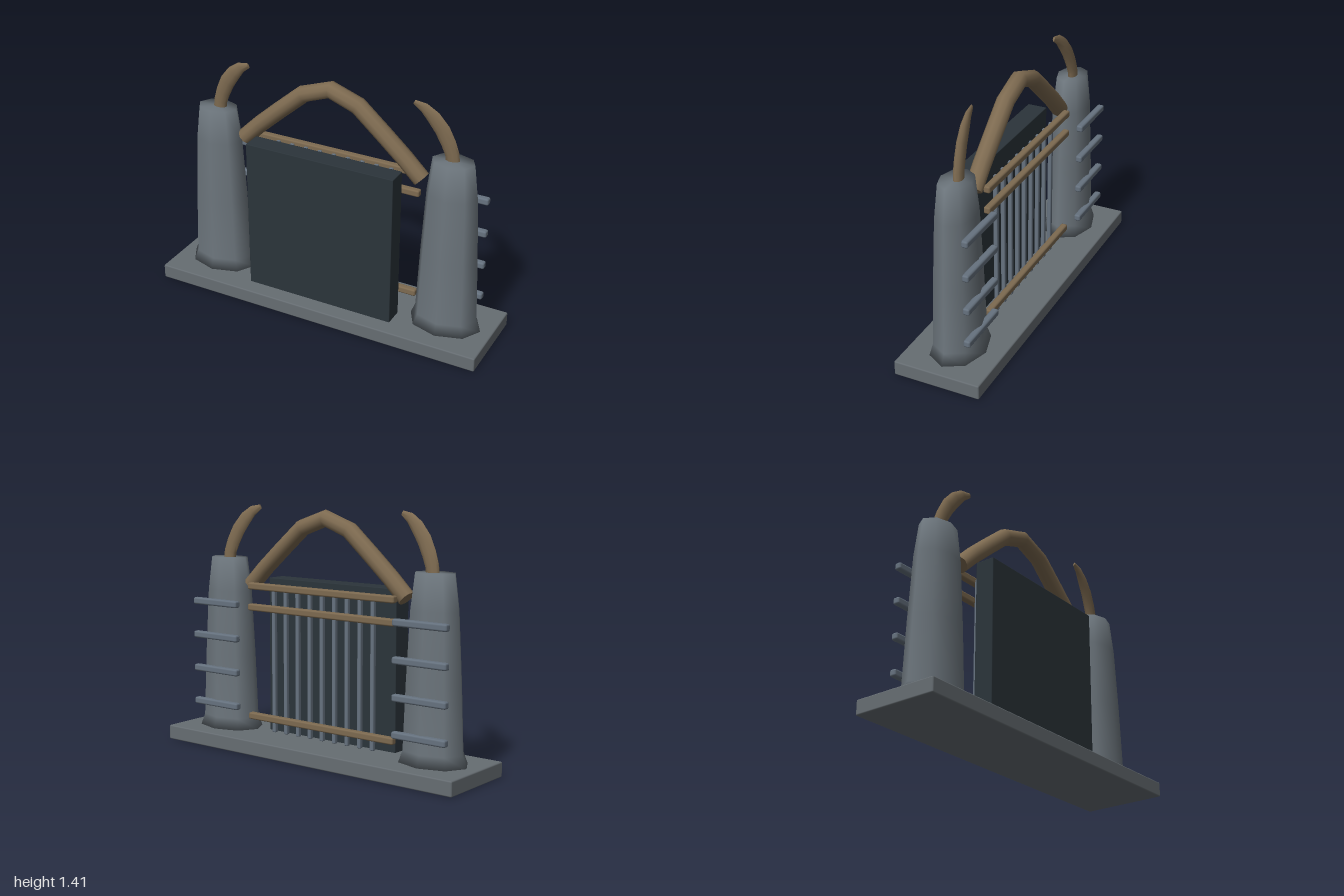
import * as THREE from 'three';
import { toCreasedNormals } from 'three/addons/utils/BufferGeometryUtils.js';
import { RoundedBoxGeometry } from 'three/addons/geometries/RoundedBoxGeometry.js';

const mat = (color) => new THREE.MeshStandardMaterial({ color });
const stone = mat(0x6b747b);
const slab = mat(0x666d72);
const dark = mat(0x2b343a);
const iron = mat(0x66727f);
const wood = mat(0x7d6a50);

// Sweep an ellipse along a path in the xy plane; each point is [x, y, z, in-plane radius, z radius]
function sweep(path, sides) {
  const rings = path.map((p, i) => {
    const a = path[Math.max(i - 1, 0)], b = path[Math.min(i + 1, path.length - 1)];
    const len = Math.hypot(b[0] - a[0], b[1] - a[1]);
    const nx = -(b[1] - a[1]) / len, ny = (b[0] - a[0]) / len;
    return { p, nx, ny, s: 1 };
  });
  rings.unshift({ ...rings[0], s: 0 });
  rings.push({ ...rings[rings.length - 1], s: 0 });
  const pos = [], idx = [];
  for (const { p, nx, ny, s } of rings) {
    for (let j = 0; j < sides; j++) {
      const t = (j / sides) * Math.PI * 2;
      const u = Math.cos(t) * p[3] * s, w = Math.sin(t) * p[4] * s;
      pos.push(p[0] + nx * u, p[1] + ny * u, p[2] + w);
    }
  }
  for (let i = 0; i < rings.length - 1; i++) {
    for (let j = 0; j < sides; j++) {
      const a = i * sides + j, b = i * sides + (j + 1) % sides;
      const c = a + sides, d = b + sides;
      if (rings[i].s) idx.push(a, b, c);
      if (rings[i + 1].s) idx.push(b, d, c);
    }
  }
  const geo = new THREE.BufferGeometry();
  geo.setAttribute('position', new THREE.Float32BufferAttribute(pos, 3));
  geo.setIndex(idx);
  return toCreasedNormals(geo, 0.95);
}

export function createModel() {
  const model = new THREE.Group();
  model.name = 'gateway';

  const add = (name, geo, material, x = 0, y = 0, z = 0) => {
    const mesh = new THREE.Mesh(geo, material);
    mesh.name = name;
    mesh.position.set(x, y, z);
    model.add(mesh);
    return mesh;
  };
  const bar = (w, h, d, r) => new RoundedBoxGeometry(w, h, d, 1, r);

  // Base slab and door panel
  add('base', bar(2, 0.085, 0.5, 0.008), slab, 0, 0.0425, 0);
  add('doorPanel', bar(0.9, 0.905, 0.115, 0.004), dark, 0, 0.5325, 0.0975);

  // Eight-sided flared towers, each with a horn and four rungs at the back
  const profile = [
    [0, 0.08], [0.212, 0.08], [0.184, 0.15], [0.168, 0.52],
    [0.146, 0.9], [0.12, 1.095], [0, 1.095],
  ].map(([r, y]) => new THREE.Vector2(r, y));
  const towerGeo = new THREE.LatheGeometry(profile, 8);
  towerGeo.scale(1, 1, 0.725);
  const horn = [
    [0.715, 1.07, -0.01, 0.04, 0.026], [0.707, 1.13, -0.008, 0.041, 0.026],
    [0.685, 1.19, -0.004, 0.044, 0.025], [0.65, 1.26, 0.002, 0.046, 0.023],
    [0.6, 1.325, 0.009, 0.042, 0.02], [0.55, 1.37, 0.016, 0.03, 0.014],
    [0.497, 1.393, 0.022, 0.014, 0.006],
  ];
  for (const [side, s] of [['left', 1], ['right', -1]]) {
    add(side + 'Tower', towerGeo, stone, s * 0.722, 0, 0);
    add(side + 'Horn', sweep(horn.map(([x, ...rest]) => [s * x, ...rest]), 10), wood);
    for (let i = 0; i < 4; i++) {
      add(side + 'Rung', bar(0.34, 0.04, 0.04, 0.011), iron, s * 0.718, 0.235 + i * 0.2, -0.125);
    }
  }

  // Curved beam over the door
  const half = [[0.545, 0.945], [0.44, 1.048], [0.325, 1.15], [0.165, 1.288]];
  const archPath = [
    ...half.map(([x, y]) => [-x, y]), [0, 1.347], ...half.slice().reverse(),
  ].map(([x, y]) => [x, y, 0, 0.048, 0.05]);
  add('archBeam', sweep(archPath, 10), wood);

  // Horizontal rails and vertical bars of the gate behind the panel
  for (const y of [0.18, 0.82, 0.943]) {
    add('gateRail', bar(1.03, 0.04, 0.04, 0.01), wood, 0, y, -0.06);
  }
  for (let i = -4; i <= 4; i++) {
    add('gateBar', bar(0.025, 0.85, 0.025, 0.006), iron, i * 0.0875, 0.522, -0.032);
  }
  return model;
}
